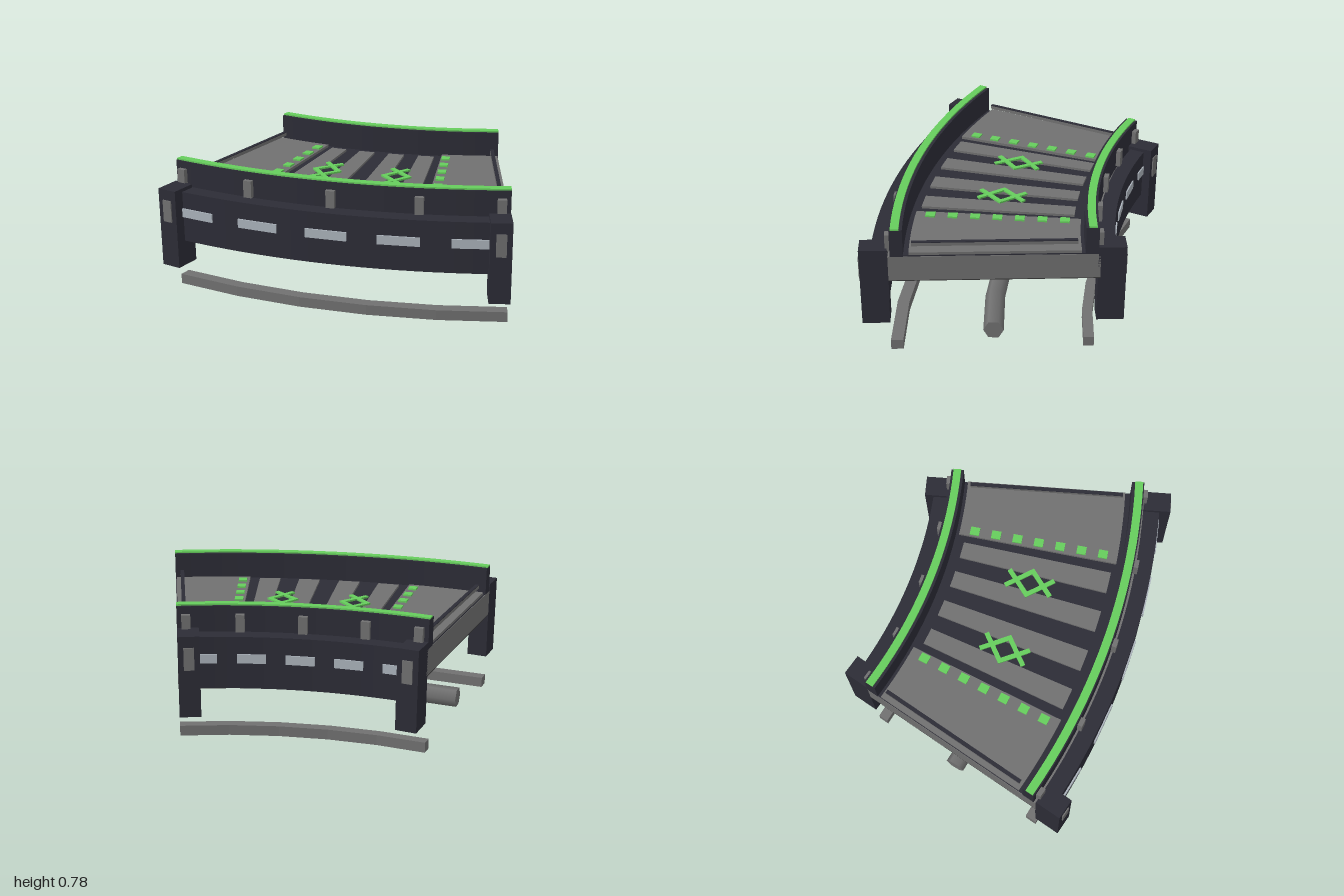
import * as THREE from 'three';

const mat = (name, color) => {
  const m = new THREE.MeshStandardMaterial({ color });
  m.name = name;
  return m;
};

// The piece is a 30 degree bend around a far centre (CX, CZ).
const CX = -0.995, CZ = -3.09, BEND = 30;
const rad = THREE.MathUtils.degToRad;

export function createModel() {
  const model = new THREE.Group();
  model.name = 'curvedBridge';
  const dark = mat('dark slate', 0x2c2c36);
  const grey = mat('stone grey', 0x707070);
  const under = mat('underside charcoal', 0x3a3a3a);
  const green = mat('bright green', 0x66cc5c);
  const light = mat('pale window', 0xaab2ba);

  const add = (name, geo, material) => {
    const mesh = new THREE.Mesh(geo, material);
    mesh.name = name;
    model.add(mesh);
    return mesh;
  };

  // Curved slab between two z offsets (measured at the straight start) and two angles
  const sector = (name, material, z0, z1, y0, y1, a0 = 0, a1 = BEND, seg = 20) => {
    const pts = [];
    const put = (z, a) => pts.push(new THREE.Vector2(
      CX + (z - CZ) * Math.sin(rad(a)), -(CZ + (z - CZ) * Math.cos(rad(a)))));
    for (let i = 0; i <= seg; i++) put(z1, a0 + (a1 - a0) * i / seg);
    for (let i = seg; i >= 0; i--) put(z0, a0 + (a1 - a0) * i / seg);
    const geo = new THREE.ExtrudeGeometry(new THREE.Shape(pts), { depth: y1 - y0, bevelEnabled: false });
    geo.rotateX(-Math.PI / 2);
    geo.translate(0, y0, 0);
    return add(name, geo, material);
  };

  // Places an object on the bend: local x runs along it, local z points outwards
  const place = (obj, z, y, a, shift = 0) => {
    const s = Math.sin(rad(a)), c = Math.cos(rad(a)), r = z - CZ;
    obj.position.set(CX + r * s + shift * c, y, CZ + r * c - shift * s);
    obj.rotation.y = rad(a);
    return obj;
  };
  const block = (name, material, w, h, d, z, y, a, shift = 0) =>
    place(add(name, new THREE.BoxGeometry(w, h, d), material), z, y, a, shift);

  // Deck
  sector('deck', grey, -0.43, 0.735, 0.46, 0.61);
  sector('deckUnderside', under, -0.43, 0.735, 0.455, 0.46);
  sector('deckSurface', dark, -0.345, 0.65, 0.61, 0.616, 0.05, 29.95);
  for (const [a0, a1] of [[0.1, 7.25], [22.75, 29.9]])
    sector('endSlab', grey, -0.325, 0.62, 0.61, 0.632, a0, a1, 6);
  for (const a of [9.2, 13.05, 16.95, 20.8])
    sector('deckStrip', grey, -0.285, 0.6, 0.61, 0.63, a - 1, a + 1, 3);

  // Raised threshold bars at both ends
  for (const [a, shift] of [[0, 0.042], [BEND, -0.042]]) {
    block('thresholdBar', grey, 0.022, 0.02, 0.91, 0.15, 0.667, a, shift);
    block('thresholdBarTop', dark, 0.022, 0.004, 0.91, 0.15, 0.679, a, shift);
  }

  // Rows of green studs
  for (const a of [6.6, 23.4])
    for (let i = 0; i < 7; i++)
      block('deckStud', green, 0.05, 0.012, 0.055, -0.235 + i * 0.128, 0.636, a);

  // Green crossed diamond signs, each of four bars
  for (const a of [11.2, 18.8]) {
    const sign = new THREE.Group();
    sign.name = 'diamondSign';
    for (const sx of [-1, 1]) for (const sz of [-1, 1]) {
      const x0 = sx * 0.082, z0 = -sz * 0.008, x1 = -sx * 0.05, z1 = sz * 0.135;
      const bar = new THREE.Mesh(
        new THREE.BoxGeometry(Math.hypot(x1 - x0, z1 - z0), 0.01, 0.027), green);
      bar.name = 'signBar';
      bar.position.set((x0 + x1) / 2, 0, (z0 + z1) / 2);
      bar.rotation.y = -Math.atan2(z1 - z0, x1 - x0);
      sign.add(bar);
    }
    model.add(place(sign, 0.155, 0.637, a));
  }

  // Both sides: skirt, parapet, trim, brackets, windows, posts, ground kerb
  const sides = [
    { s: 1, skirt: [0.735, 0.83], wall: [0.65, 0.722], trim: [0.668, 0.715], kerb: [0.67, 0.74], post: 0.815, win: 0.24 },
    { s: -1, skirt: [-0.52, -0.43], wall: [-0.418, -0.345], trim: [-0.405, -0.36], kerb: [-0.41, -0.35], post: -0.495, win: 0.16 },
  ];
  for (const { s, skirt, wall, trim, kerb, post, win } of sides) {
    const skirtFace = s > 0 ? skirt[1] : skirt[0];
    const wallFace = s > 0 ? wall[1] : wall[0];
    sector('skirt', dark, ...skirt, 0.33, 0.63);
    sector('parapet', dark, ...wall, 0.61, 0.774);
    sector('parapetTrim', green, ...trim, 0.774, 0.783);
    sector('groundKerb', grey, ...kerb, 0, 0.06, 0, BEND, 5);
    for (let i = 0; i < 5; i++) {
      const shift = i === 0 ? 0.05 : i === 4 ? -0.05 : 0;
      block('parapetBracket', grey, 0.05, 0.1, 0.03, wallFace + s * 0.012, 0.68, i * 7.5, shift);
      block('skirtWindow', light, win, 0.052, 0.009, skirtFace + s * 0.004, 0.505, 3 + i * 6);
    }
    for (const [a, shift] of [[0, 0.06], [BEND, -0.06]]) {
      block('post', dark, 0.12, 0.47, 0.155, post, 0.415, a, shift);
      block('postPlate', grey, 0.058, 0.13, 0.009, post + s * 0.08, 0.522, a, shift);
    }
  }

  // Six-sided pipe beneath the deck, in five straight lengths
  const pipeR = 0.16 - CZ;
  const len = 2 * pipeR * Math.sin(rad(3));
  for (let i = 0; i < 5; i++) {
    const geo = new THREE.CylinderGeometry(0.058, 0.058, len + 0.004, 6);
    geo.rotateZ(Math.PI / 2);
    place(add('pipeLength', geo, grey), CZ + pipeR * Math.cos(rad(3)), 0.12, 3 + i * 6);
  }
  return model;
}
